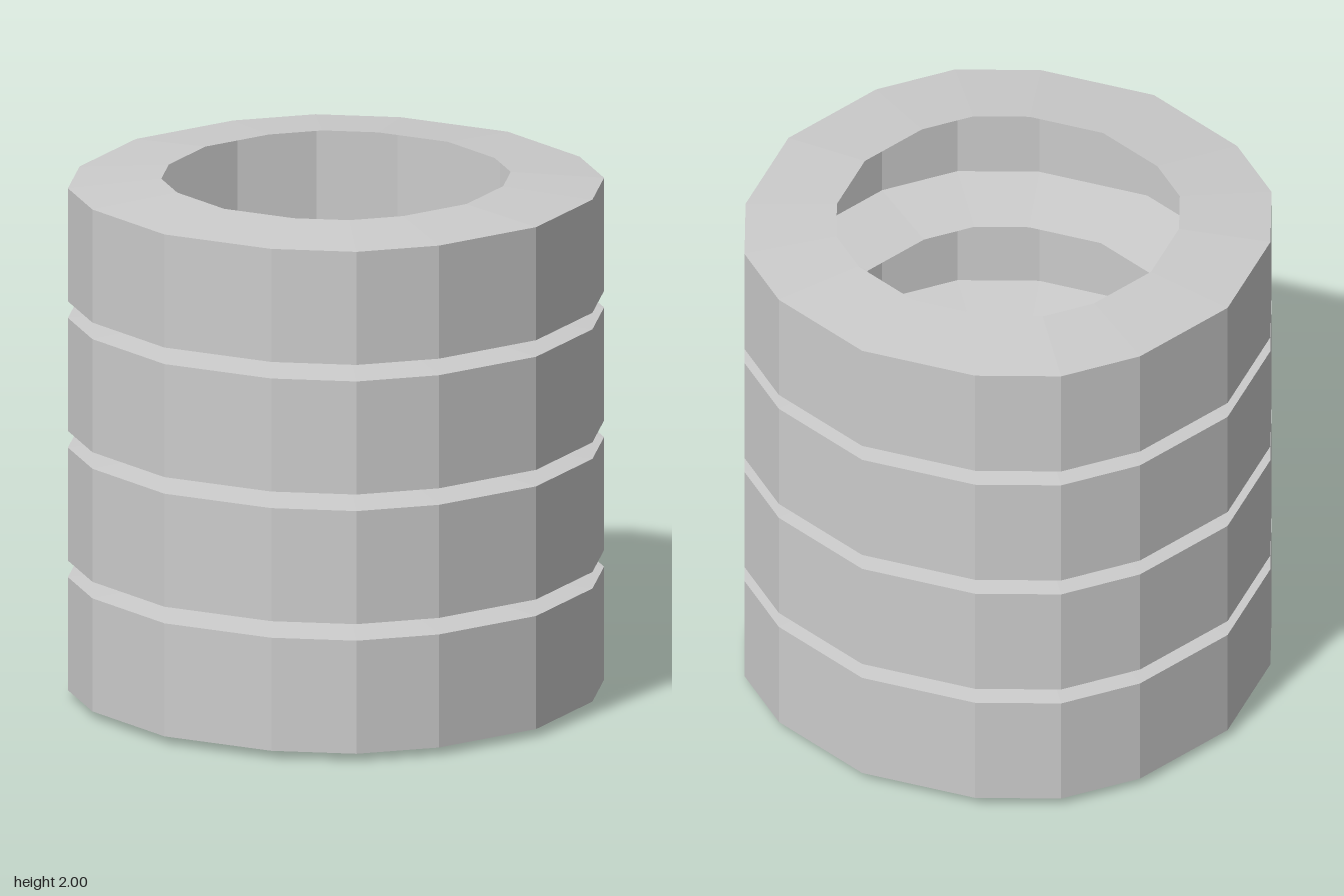
import * as THREE from 'three';

const RINGS = 4, PITCH = 0.501, HEIGHT = 0.497;

// Hollow ring section: outer tread with thin sloping sidewalls, open to the hole
const section = [
  [0.627, 0], [0.985, 0.03], [0.985, 0.467], [0.642, HEIGHT],
  [0.94, 0.465], [0.94, 0.032], [0.627, 0],
].map(([r, y]) => new THREE.Vector2(r, y));

// Quarter outline of the uneven sixteen-sided ring, as fractions of the radius
const quarter = [[0, 1], [0.447, 0.898], [0.721, 0.721], [0.898, 0.447]];

function ringGeometry() {
  const geometry = new THREE.LatheGeometry(section, 16);
  const pos = geometry.attributes.position;
  for (let i = 0; i < pos.count; i++) {
    const side = Math.floor(i / section.length) % 16;
    const r = section[i % section.length].x;
    let [x, z] = quarter[side % 4];
    // turn the quarter outline round to the others
    for (let q = 0; q < Math.floor(side / 4); q++) [x, z] = [z, -x];
    pos.setX(i, x * r);
    pos.setZ(i, z * r);
  }
  geometry.computeVertexNormals();
  return geometry;
}

export function createModel() {
  const model = new THREE.Group();
  model.name = 'tyreStack';
  const rubber = new THREE.MeshStandardMaterial({
    color: 0xcccccc, flatShading: true, side: THREE.DoubleSide,
  });
  const geometry = ringGeometry();
  // Stack with a hairline gap between neighbours
  for (let i = 0; i < RINGS; i++) {
    const tyre = new THREE.Mesh(geometry, rubber);
    tyre.name = `tyre${i + 1}`;
    tyre.position.y = i * PITCH;
    model.add(tyre);
  }
  return model;
}
